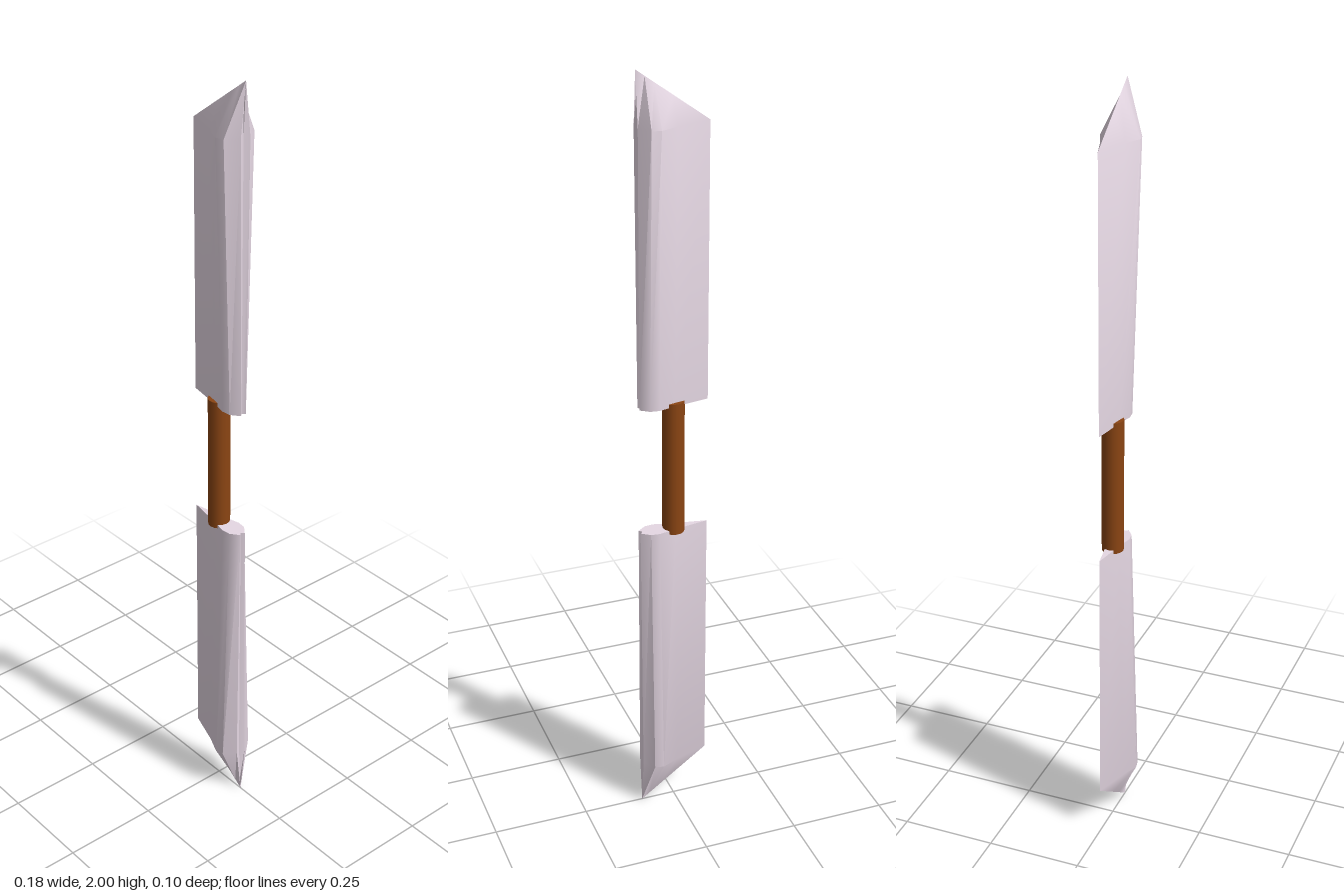
import * as THREE from 'three';
import { toCreasedNormals } from 'three/addons/utils/BufferGeometryUtils.js';

// Blade cross-section: [x, half thickness as a fraction], cutting edge to spine
const SIDE = [[-0.09, 0], [0, 0.6], [0.045, 1], [0.068, 0.9], [0.09, 0.28]];
const GROOVE = [0.083, 0];
const PROFILE = [
  ...SIDE,
  GROOVE,
  ...SIDE.slice(1).reverse().map(([x, t]) => [x, -t]),
];

// Blade lofted from the grip end outwards, closed by a slanted ridge
function bladeGeometry(inner, shoulder, tip) {
  const ridge = (x) => shoulder + ((x + 0.09) / 0.18) * (tip - shoulder);
  const rings = [
    PROFILE.map(([x, t]) => [x, inner, t * 0.027]),
    PROFILE.map(([x, t]) => [x, shoulder, t * 0.05]),
    PROFILE.map(([x]) => [x, ridge(x), 0]),
  ];
  const n = PROFILE.length;
  const index = [];
  for (let r = 0; r < rings.length - 1; r++) {
    for (let i = 0; i < n; i++) {
      const a = r * n + i, b = r * n + ((i + 1) % n);
      index.push(a, b, b + n, a, b + n, a + n);
    }
  }
  // Flat cap facing the grip
  const center = rings.length * n;
  for (let i = 0; i < n; i++) index.push(center, (i + 1) % n, i);

  const geometry = new THREE.BufferGeometry();
  const points = [...rings.flat(2), 0.02, inner, 0];
  geometry.setAttribute('position', new THREE.Float32BufferAttribute(points, 3));
  geometry.setIndex(index);
  return toCreasedNormals(geometry, 0.7);
}

export function createModel() {
  const group = new THREE.Group();
  const steel = new THREE.MeshStandardMaterial({ color: 0xe6d8e4 });
  const wood = new THREE.MeshStandardMaterial({ color: 0x8b4513 });
  const middle = 1.002;

  // Two matching blades, the lower one turned over about x
  const geometry = bladeGeometry(0.17, 0.868, 0.998);
  for (const [name, turn] of [['upperBlade', 0], ['lowerBlade', Math.PI]]) {
    const blade = new THREE.Mesh(geometry, steel);
    blade.name = name;
    blade.position.y = middle;
    blade.rotation.x = turn;
    group.add(blade);
  }

  // Round grip, set slightly into both blades
  const grip = new THREE.Mesh(new THREE.CylinderGeometry(0.028, 0.028, 0.36, 16), wood);
  grip.name = 'grip';
  grip.position.y = middle;
  group.add(grip);

  return group;
}
